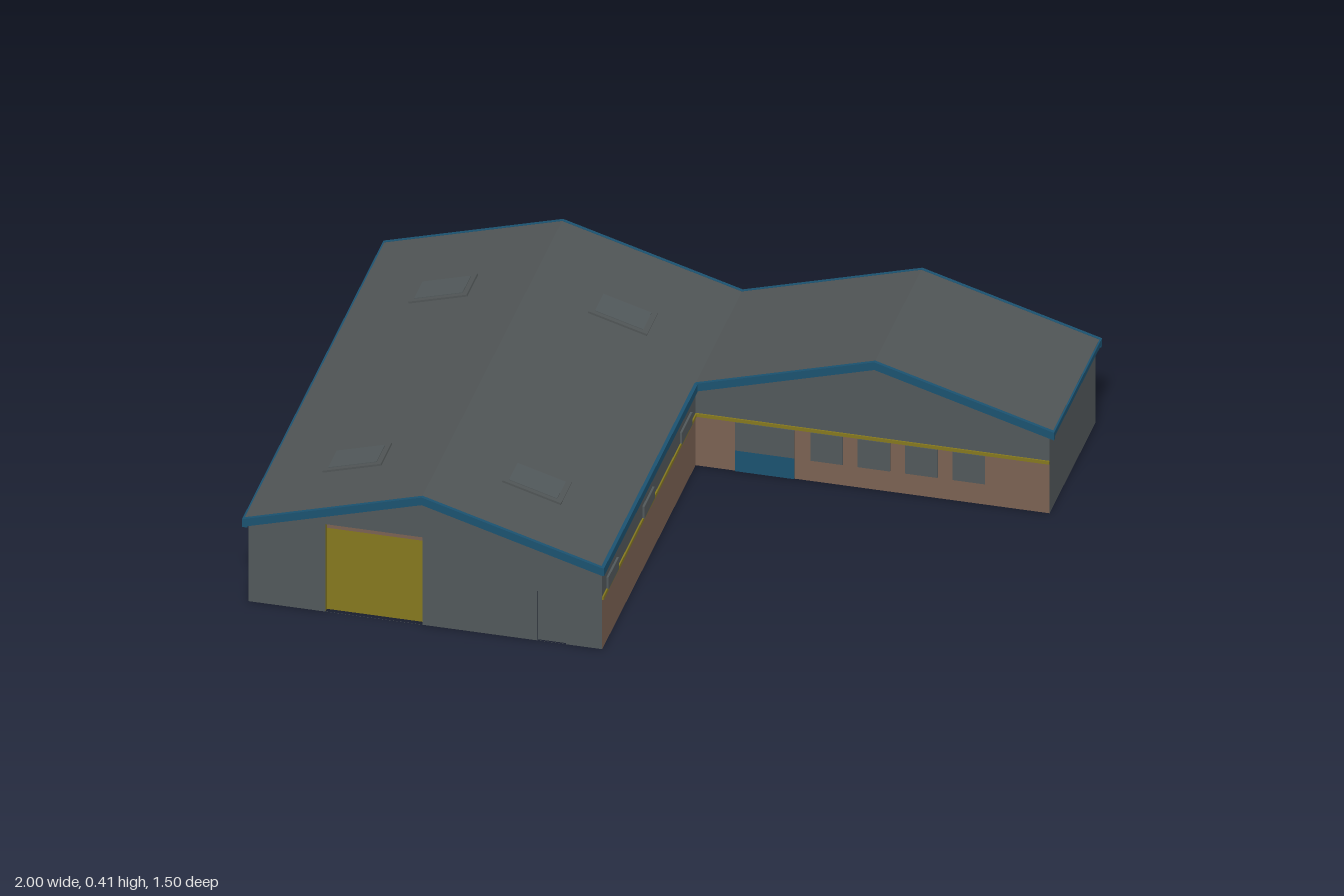
import * as THREE from 'three';

const mat = (name, color) => {
  const m = new THREE.MeshStandardMaterial({ color, side: THREE.DoubleSide });
  m.name = name;
  return m;
};

export function createModel() {
  const group = new THREE.Group();
  const wall = mat('wall grey', 0x51585a);
  const roof = mat('roof grey', 0x505556);
  const brick = mat('brick brown', 0x7a6152);
  const yellow = mat('yellow', 0x85781e);
  const blue = mat('trim blue', 0x1b5270);

  const EAVE = 0.26, RIDGE = 0.405, SLOPE = (RIDGE - EAVE) / 0.5;
  const BACK = -0.74, FRONT = 0.74, COURT = -0.25, END = 0.985;
  const roofY = (x) => RIDGE - SLOPE * Math.abs(Math.abs(x) - 0.5);

  const add = (name, geometry, material, x = 0, y = 0, z = 0) => {
    const mesh = new THREE.Mesh(geometry, material);
    mesh.name = name;
    mesh.position.set(x, y, z);
    group.add(mesh);
    return mesh;
  };
  // Box given by its limits
  const box = (name, material, x0, x1, y0, y1, z0, z1) =>
    add(name, new THREE.BoxGeometry(x1 - x0, y1 - y0, z1 - z0), material,
      (x0 + x1) / 2, (y0 + y1) / 2, (z0 + z1) / 2);
  const polygon = (points) => new THREE.Shape(points.map(([x, y]) => new THREE.Vector2(x, y)));
  const rect = (x0, x1, y0, y1) => polygon([[x0, y0], [x1, y0], [x1, y1], [x0, y1]]);

  // Flat wall sheet facing z, with openings
  const sheet = (name, material, shape, z, holes = []) => {
    shape.holes.push(...holes);
    return add(name, new THREE.ShapeGeometry(shape), material, 0, 0, z);
  };
  // Flat wall sheet facing x
  const sideSheet = (name, material, z0, z1, y0, y1, x, facing) => {
    const m = add(name, new THREE.PlaneGeometry(z1 - z0, y1 - y0), material, x, (y0 + y1) / 2, (z0 + z1) / 2);
    m.rotation.y = facing * Math.PI / 2;
    return m;
  };
  const gable = (x0, x1, y0, peaks) => polygon([
    [x0, y0], [x1, y0], [x1, roofY(x1) - 0.012],
    ...peaks.map((x) => [x, roofY(x) - 0.012]), [x0, roofY(x0) - 0.012],
  ]);

  // Hall front with its two openings
  sheet('hallFrontWall', wall, gable(-0.985, 0, 0, [-0.5]), FRONT,
    [rect(-0.77, -0.5, 0.0005, 0.275), rect(-0.18, -0.1, 0.0005, 0.155)]);

  // Back and outer side walls
  const back = sheet('backWall', wall, gable(-END, END, 0, [0.5, 0, -0.5]), BACK);
  back.scale.x = -1;
  back.rotation.y = Math.PI;
  back.scale.x = 1;
  sideSheet('hallOuterWall', wall, BACK, FRONT, 0, 0.252, -END, -1);
  sideSheet('wingEndWall', wall, BACK, COURT, 0, 0.252, END, 1);

  // Courtyard walls: brick below, grey above, yellow band between
  const BAND = 0.157;
  sideSheet('hallCourtBrick', brick, COURT, FRONT, 0, BAND, 0, 1);
  sideSheet('hallCourtUpperWall', wall, COURT, FRONT, BAND, 0.252, 0, 1);
  box('hallCourtBand', yellow, 0, 0.004, 0.155, 0.165, COURT, FRONT);
  sheet('wingFrontBrick', brick, rect(0, END, 0, BAND), COURT);
  sheet('wingFrontUpperWall', wall, gable(0, END, BAND, [0.5]), COURT);
  box('wingFrontBand', yellow, 0, END, 0.155, 0.165, COURT, COURT + 0.004);

  // Large sliding door, set back in its opening
  box('largeDoor', yellow, -0.77, -0.5, 0, 0.255, FRONT - 0.025, FRONT - 0.015);
  box('largeDoorHead', brick, -0.77, -0.5, 0.255, 0.275, FRONT - 0.025, FRONT - 0.015);
  for (const x of [-0.77, -0.5]) {
    sideSheet('largeDoorJamb', yellow, FRONT - 0.025, FRONT, 0, 0.275, x, 1);
  }
  // Small side door
  box('smallDoor', wall, -0.18, -0.1, 0, 0.155, FRONT - 0.012, FRONT - 0.006);

  // Wing entrance: blue lower panel, glazed above, seen from both sides
  box('entrancePanel', blue, 0.11, 0.275, 0, 0.065, COURT - 0.003, COURT + 0.003);
  box('entranceGlazing', wall, 0.11, 0.275, 0.065, 0.153, COURT - 0.003, COURT + 0.003);

  // Wing windows
  for (let i = 0; i < 4; i++) {
    const x = 0.32 + i * 0.132;
    box('wingWindow', wall, x, x + 0.09, 0.065, 0.153, COURT - 0.003, COURT + 0.003);
  }
  // High strip windows along the hall
  for (const z of [0.64, 0.26, -0.14]) {
    box('hallWindow', wall, -0.003, 0.006, 0.162, 0.2, z - 0.055, z + 0.055);
  }

  // Roofs: folded sheets running along z
  const fold = (x0, xm, x1, top, depth) => polygon([
    [x0, roofY(x0) - top - depth], [xm, RIDGE - top - depth], [x1, roofY(x1) - top - depth],
    [x1, roofY(x1) - top], [xm, RIDGE - top], [x0, roofY(x0) - top],
  ]);
  const foldedRoof = (name, material, x0, xm, x1, z0, z1, top, depth) =>
    add(name, new THREE.ExtrudeGeometry(fold(x0, xm, x1, top, depth),
      { depth: z1 - z0, bevelEnabled: false }), material, 0, 0, z0);
  foldedRoof('hallRoof', roof, -0.995, -0.5, 0, -0.745, 0.745, 0, 0.012);
  foldedRoof('wingRoof', roof, 0, 0.5, 0.995, -0.745, -0.245, 0, 0.012);

  // Blue verge boards on every gable
  const verge = (x0, xm, x1, z) => foldedRoof('vergeBoard', blue, x0, xm, x1, z - 0.005, z + 0.005, -0.001, 0.024);
  verge(-1, -0.5, 0, 0.745);
  verge(-1, -0.5, 0, -0.745);
  verge(0, 0.5, 1, -0.745);
  verge(0, 0.5, 1, -0.245);

  // Blue eave boards
  box('eaveBoard', blue, -1, -0.985, 0.237, 0.261, -0.75, 0.75);
  box('eaveBoard', blue, 0.985, 1, 0.245, 0.261, -0.75, -0.24);
  box('eaveBoard', blue, -0.002, 0.008, 0.237, 0.261, -0.245, 0.75);

  // Skylights on both slopes of the hall roof
  const angle = Math.atan(SLOPE);
  for (const z of [0.48, -0.43]) {
    for (const side of [-1, 1]) {
      const skylight = new THREE.Group();
      skylight.name = 'skylight';
      const frame = new THREE.Mesh(new THREE.BoxGeometry(0.17, 0.008, 0.115), roof);
      frame.name = 'skylightFrame';
      const pane = new THREE.Mesh(new THREE.BoxGeometry(0.14, 0.004, 0.09), wall);
      pane.name = 'skylightPane';
      pane.position.y = 0.004;
      skylight.add(frame, pane);
      const x = -0.5 + side * 0.25;
      skylight.position.set(x, roofY(x) + 0.002, z);
      skylight.rotation.z = -side * angle;
      group.add(skylight);
    }
  }
  return group;
}
